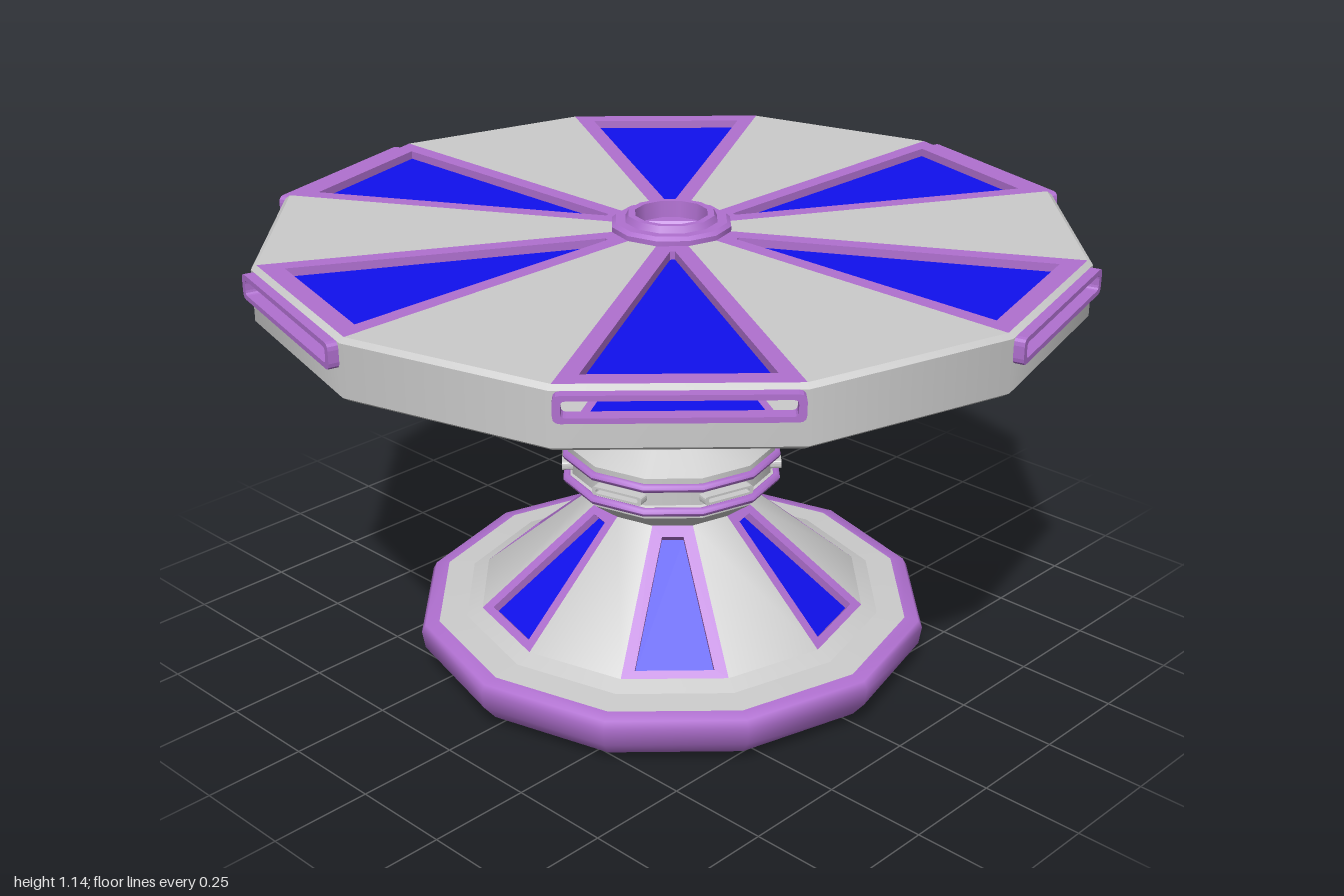
import * as THREE from 'three';
import { mergeGeometries } from 'three/addons/utils/BufferGeometryUtils.js';

const SIDES = 12, STEP = Math.PI * 2 / SIDES, HALF = STEP / 2;
const mat = color => new THREE.MeshStandardMaterial({ color, side: THREE.DoubleSide });
const grey = mat(0xcccccc), purple = mat(0xb070d0), blue = mat(0x1010ee);
const V2 = (x, y) => new THREE.Vector2(x, y);

function add(parent, name, geometry, material) {
  const mesh = new THREE.Mesh(geometry, material);
  mesh.name = name;
  parent.add(mesh);
  return mesh;
}

// Twelve-sided ring of walls: smooth around, creased between profile points
function turned(points, phi = 0, count = SIDES) {
  return mergeGeometries(points.slice(1).map((p, i) =>
    new THREE.LatheGeometry([V2(...points[i]), V2(...p)], count, phi, count * STEP)));
}

// Flat-shaded quads, corners counter-clockwise from outside
function quads(list) {
  const pos = [];
  for (const [a, b, c, d] of list) for (const p of [a, b, c, a, c, d]) pos.push(p.x, p.y, p.z);
  const g = new THREE.BufferGeometry();
  g.setAttribute('position', new THREE.Float32BufferAttribute(pos, 3));
  g.computeVertexNormals();
  return g;
}

// Framed, sunken window filling one sector between two profile points
function framedPanel(name, [r0, y0], [r1, y1], { side, start, end, depth }) {
  const group = new THREE.Group();
  group.name = name;
  const a0 = r0 * Math.cos(HALF), a1 = r1 * Math.cos(HALF);
  const length = Math.hypot(a1 - a0, y1 - y0);
  const at = (t, inset, sign) => {
    const a = a0 + (a1 - a0) * t;
    return new THREE.Vector3(sign * (a * Math.tan(HALF) - inset), y0 + (y1 - y0) * t, a);
  };
  const loop = (t0, t1, inset) => [at(t0, inset, -1), at(t0, inset, 1), at(t1, inset, 1), at(t1, inset, -1)];
  const outer = loop(0, 1, 0);
  const inner = loop(start / length, 1 - end / length, side / Math.cos(HALF));
  const inward = new THREE.Vector3(0, a1 - a0, y0 - y1).setLength(depth);
  const floor = inner.map(p => p.clone().add(inward));
  const band = (A, B) => A.map((p, i) => [p, A[(i + 1) % 4], B[(i + 1) % 4], B[i]]);
  add(group, 'panelFrame', quads([...band(outer, inner), ...band(inner, floor)]), purple);
  add(group, 'panelGlass', quads([floor]), blue);
  return group;
}

function roundedRect(path, w, h, r) {
  const x = w / 2, y = h / 2;
  path.moveTo(-x + r, -y);
  path.lineTo(x - r, -y);
  path.quadraticCurveTo(x, -y, x, -y + r);
  path.lineTo(x, y - r);
  path.quadraticCurveTo(x, y, x - r, y);
  path.lineTo(-x + r, y);
  path.quadraticCurveTo(-x, y, -x, y - r);
  path.lineTo(-x, -y + r);
  path.quadraticCurveTo(-x, -y, -x + r, -y);
  return path;
}

// Upright wall of one sector with a slot cut through and a raised frame around it
function slottedWall(name, radius, y0, y1, slotY, slot, frame, out, frameMat) {
  const group = new THREE.Group();
  group.name = name;
  const apothem = radius * Math.cos(HALF), x = radius * Math.sin(HALF);
  const wall = new THREE.Shape([V2(-x, y0 - slotY), V2(x, y0 - slotY), V2(x, y1 - slotY), V2(-x, y1 - slotY)]);
  wall.holes.push(roundedRect(new THREE.Path(), ...slot));
  const wallGeo = new THREE.ShapeGeometry(wall, 3).translate(0, slotY, apothem);
  const p = wallGeo.attributes.position, n = wallGeo.attributes.normal;
  for (let i = 0; i < p.count; i++) {
    const l = Math.hypot(p.getX(i), p.getZ(i));
    n.setXYZ(i, p.getX(i) / l, 0, p.getZ(i) / l);
  }
  add(group, 'slottedFacet', wallGeo, grey);
  const rim = roundedRect(new THREE.Shape(), ...frame);
  rim.holes.push(roundedRect(new THREE.Path(), ...slot));
  const rimGeo = new THREE.ExtrudeGeometry(rim, { depth: out + 0.01, bevelEnabled: false, curveSegments: 3 });
  add(group, 'slotFrame', rimGeo.translate(0, slotY, apothem - 0.01), frameMat);
  return group;
}

export function createModel() {
  const model = new THREE.Group();
  model.name = 'pedestalTable';
  const place = (part, k) => {
    part.rotation.y = k * STEP + HALF;
    model.add(part);
  };

  // Foot: recessed underside and rounded outer edge
  add(model, 'footUnderside', turned([[0, 0.07], [0.54, 0.07], [0.55, 0], [0.565, 0]]), purple);
  add(model, 'footEdge', new THREE.LatheGeometry([[0.565, 0], [0.605, 0.025], [0.638, 0.065],
    [0.645, 0.11], [0.635, 0.128], [0.6, 0.133]].map(p => V2(...p)), SIDES), purple);
  add(model, 'footSkirt', turned([[0.6, 0.133], [0.53, 0.138], [0.49, 0.155]]), grey);

  // Sectors that alternate between plain walls and framed windows
  const sections = [
    ['lowerCone', [0.49, 0.155], [0.19, 0.41], { side: 0.028, start: 0.02, end: 0.03, depth: 0.02 }],
    ['upperCone', [0.19, 0.615], [0.48, 0.965], { side: 0.032, start: 0.045, end: 0.025, depth: 0.02 }],
    ['tableUnderside', [0.48, 0.965], [0.965, 0.965], { side: 0.035, start: 0.04, end: 0.06, depth: 0.025 }],
    ['tableTop', [0.97, 1.11], [0.12, 1.11], { side: 0.04, start: 0.047, end: 0.06, depth: 0.02 }],
  ];
  for (const [name, from, to, inset] of sections) {
    for (let k = 0; k < SIDES; k += 2) {
      place(framedPanel(name + 'Panel', from, to, inset), k);
      add(model, name + 'Wall', turned([from, to], (k + 1) * STEP, 1), grey);
    }
  }

  // Waist collar with two rings and small slots
  add(model, 'collarLower', turned([[0.19, 0.41], [0.262, 0.465], [0.262, 0.49], [0.252, 0.495]]), grey);
  add(model, 'collarUpper', turned([[0.252, 0.535], [0.262, 0.54], [0.262, 0.57], [0.19, 0.615]]), grey);
  for (const y of [0.483, 0.546]) {
    const ring = [];
    for (let i = 0; i <= 8; i++) {
      const a = i * Math.PI / 4;
      ring.push(V2(0.264 + 0.012 * Math.cos(a), y + 0.011 * Math.sin(a)));
    }
    add(model, 'collarRing', new THREE.LatheGeometry(ring, SIDES), purple);
  }

  // Table rim
  add(model, 'rimBevelLower', turned([[0.965, 0.965], [0.983, 0.977]]), grey);
  add(model, 'rimBevelUpper', turned([[0.983, 1.1], [0.97, 1.11]]), grey);
  for (let k = 0; k < SIDES; k += 2) {
    place(slottedWall('rimSlot', 0.983, 0.977, 1.1, 1.07,
      [0.465, 0.036, 0.01], [0.498, 0.06, 0.016], 0.024, purple), k);
    add(model, 'rimWall', turned([[0.983, 0.977], [0.983, 1.1]], (k + 1) * STEP, 1), grey);
    place(slottedWall('collarSlot', 0.252, 0.495, 0.535, 0.515,
      [0.115, 0.011, 0.004], [0.136, 0.022, 0.008], 0.026, grey), k + 1);
    add(model, 'collarWall', turned([[0.252, 0.495], [0.252, 0.535]], k * STEP, 1), grey);
  }

  // Open ring around the centre hole
  add(model, 'centreRing', turned([[0.145, 1.108], [0.145, 1.122], [0.135, 1.13], [0.112, 1.13],
    [0.104, 1.145], [0.088, 1.145], [0.085, 1.105], [0.145, 1.108]]), purple);
  return model;
}
